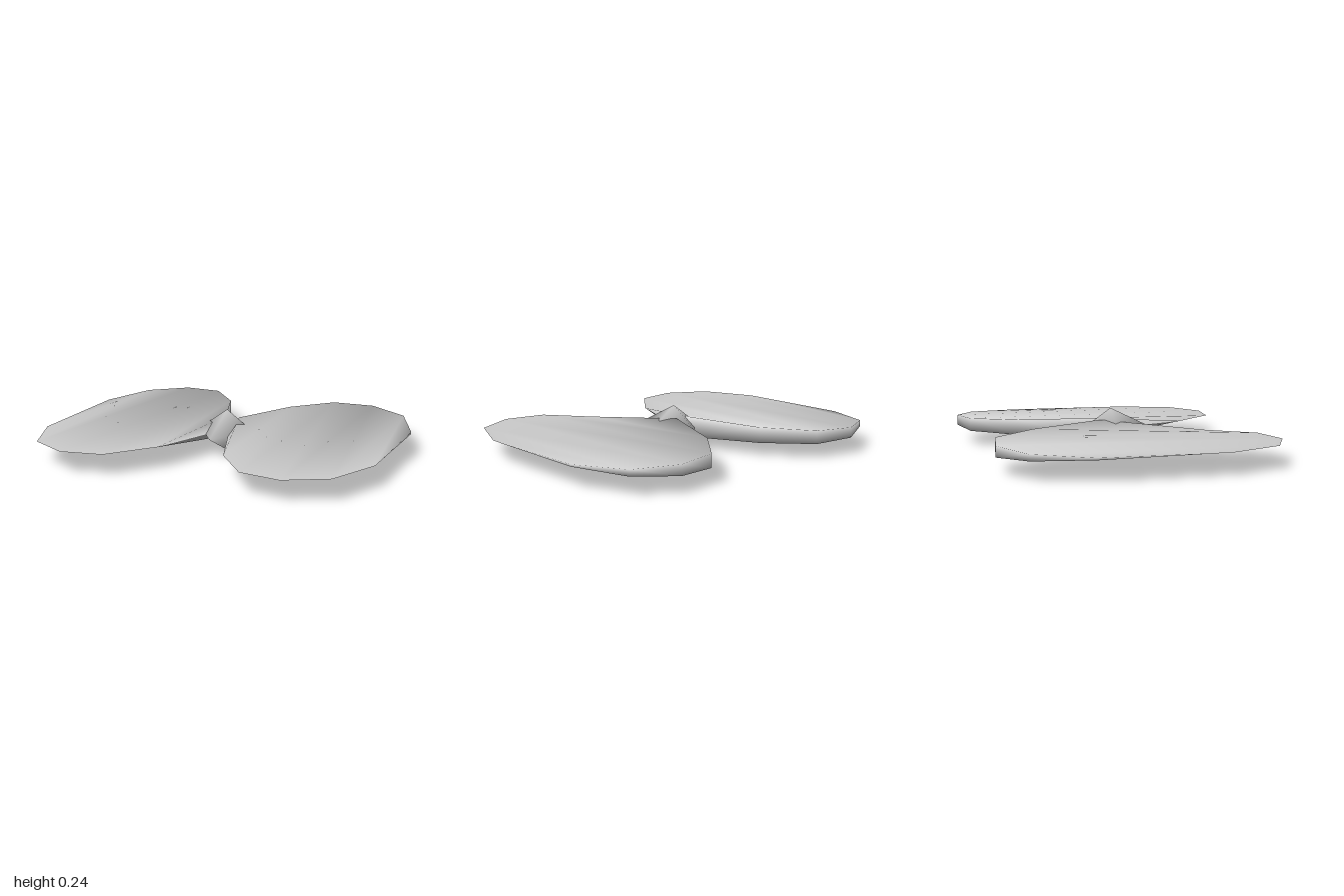
import * as THREE from 'three';
import { mergeVertices } from 'three/addons/utils/BufferGeometryUtils.js';

const MID = 0.122; // height of the centre plane

// Wing stations from root to tip: x, half depth in z, half thickness at the rear,
// and how far the rear edge normal leans outward, in degrees
const STATIONS = [
  [0.042, 0.075, 0.06, 50],
  [0.2, 0.505, 0.045, 37],
  [0.4, 0.755, 0.038, 37],
  [0.64, 0.797, 0.03, 37],
  [0.87, 0.672, 0.018, 25],
  [1.0, 0.362, 0.006, 60],
];

// Loft of triangular sections: sharp creased front edge, blunt softly rounded rear edge
function wingGeometry(side) {
  const pos = [];
  const normals = [];
  const index = [];
  const last = STATIONS.length - 1;

  const vertex = (x, y, z, normal) => {
    pos.push(side * x, MID + y, z);
    normal.normalize();
    normals.push(side * normal.x, normal.y, normal.z);
  };
  const tri = (a, b, c) => (side > 0 ? index.push(a, b, c) : index.push(a, c, b));

  STATIONS.forEach(([x, z, h, lean], i) => {
    // Outward direction of the rear outline, from its two neighbours
    const [px, pz] = i > 0 ? [STATIONS[i - 1][0], -STATIONS[i - 1][1]] : [x, z];
    const [nx, nz] = i < last ? [STATIONS[i + 1][0], -STATIONS[i + 1][1]] : [x, z];
    const out = new THREE.Vector3(nz - pz, 0, px - nx).normalize();
    const up = 1 / Math.tan(THREE.MathUtils.degToRad(lean));

    vertex(x, 0, z, new THREE.Vector3(0, 1, 0.05)); // front edge, upper face
    vertex(x, h, -z, new THREE.Vector3(out.x, up, out.z)); // rear top
    vertex(x, -h, -z, new THREE.Vector3(out.x, -up, out.z)); // rear bottom
    vertex(x, 0, z, new THREE.Vector3(0, -1, 0.05)); // front edge, lower face
  });

  for (let i = 0; i < last; i++) {
    for (let k = 0; k < 3; k++) {
      const a = i * 4 + k;
      const b = a + 1;
      if (k === 2) {
        tri(a, a + 4, b + 4);
        tri(a, b + 4, b);
      } else {
        tri(a, a + 4, b);
        tri(a + 4, b + 4, b);
      }
    }
  }
  // Root and tip caps
  tri(0, 1, 2);
  tri(last * 4, last * 4 + 2, last * 4 + 1);

  const geo = new THREE.BufferGeometry();
  geo.setAttribute('position', new THREE.Float32BufferAttribute(pos, 3));
  geo.setAttribute('normal', new THREE.Float32BufferAttribute(normals, 3));
  geo.setIndex(index);
  return geo;
}

// Smooth octahedron, longer towards the front
function hubGeometry() {
  let geo = new THREE.OctahedronGeometry(1, 0);
  geo.deleteAttribute('normal');
  geo.deleteAttribute('uv');
  geo = mergeVertices(geo, 1e-3);
  const p = geo.attributes.position;
  for (let i = 0; i < p.count; i++) {
    const z = p.getZ(i);
    p.setXYZ(i, p.getX(i) * 0.17, MID + p.getY(i) * MID, z * (z > 0 ? 0.25 : 0.178));
  }
  geo.computeVertexNormals();
  return geo;
}

export function createModel() {
  const group = new THREE.Group();
  const grey = new THREE.MeshStandardMaterial({ color: 0xcccccc });
  grey.name = 'light grey';

  const add = (name, geo) => {
    const mesh = new THREE.Mesh(geo, grey);
    mesh.name = name;
    group.add(mesh);
  };

  add('hub', hubGeometry());
  add('leftWing', wingGeometry(1));
  add('rightWing', wingGeometry(-1));
  return group;
}
